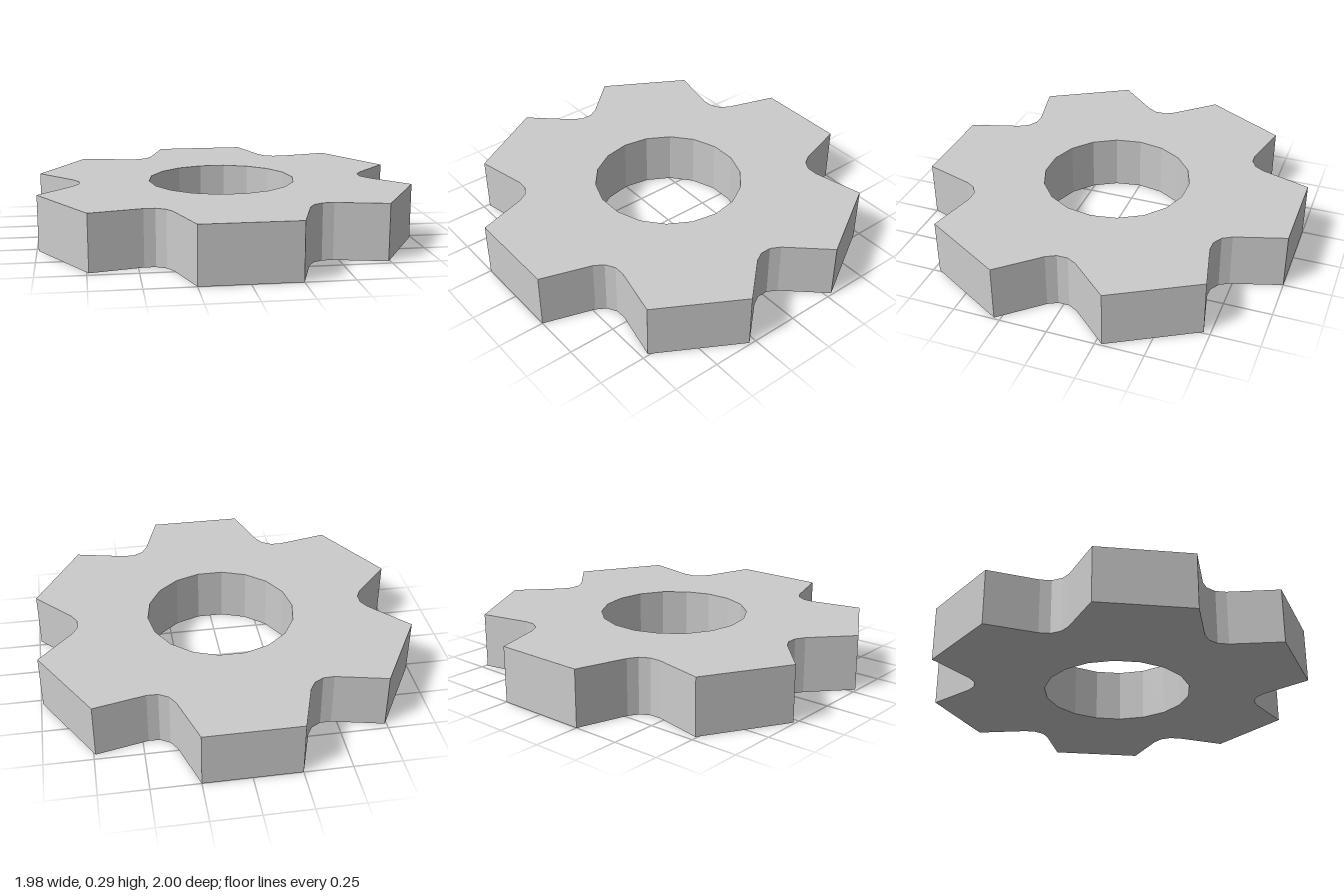
import * as THREE from 'three';

const TEETH = 6, HEIGHT = 0.295, HOLE_RADIUS = 0.397, HOLE_SIDES = 18;

// One tooth gap, centred on the +x axis: tooth corner, rounded root, next tooth corner
function gapPoints() {
  const corner = new THREE.Vector2(1, 0.25).rotateAround(new THREE.Vector2(), -Math.PI / 6);
  const pts = [corner];
  const r = 0.117, sweep = THREE.MathUtils.degToRad(43), steps = 3;
  for (let i = 0; i <= steps; i++) {
    const a = sweep * (2 * i / steps - 1);
    pts.push(new THREE.Vector2(0.773 + r * (1 - Math.cos(a)), r * Math.sin(a)));
  }
  pts.push(new THREE.Vector2(corner.x, -corner.y));
  // order the points counter-clockwise
  return pts.sort((p, q) => p.y - q.y);
}

export function createModel() {
  const group = new THREE.Group();
  group.name = 'gear';

  // Toothed outline: the gap repeated around the centre
  const origin = new THREE.Vector2();
  const gap = gapPoints();
  const outline = [];
  for (let i = 0; i < TEETH; i++) {
    const angle = i * Math.PI * 2 / TEETH;
    gap.forEach(p => outline.push(p.clone().rotateAround(origin, angle)));
  }
  const shape = new THREE.Shape(outline);

  // Faceted bore
  const bore = [];
  for (let i = 0; i < HOLE_SIDES; i++) {
    const a = -i * Math.PI * 2 / HOLE_SIDES;
    bore.push(new THREE.Vector2(Math.cos(a), Math.sin(a)).multiplyScalar(HOLE_RADIUS));
  }
  shape.holes.push(new THREE.Path(bore));

  // Lay the extruded plate flat on the ground
  const geometry = new THREE.ExtrudeGeometry(shape, { depth: HEIGHT, bevelEnabled: false });
  geometry.rotateX(-Math.PI / 2);

  const material = new THREE.MeshStandardMaterial({ color: 0xcccccc, flatShading: true });
  const body = new THREE.Mesh(geometry, material);
  body.name = 'gearBody';
  group.add(body);
  return group;
}
